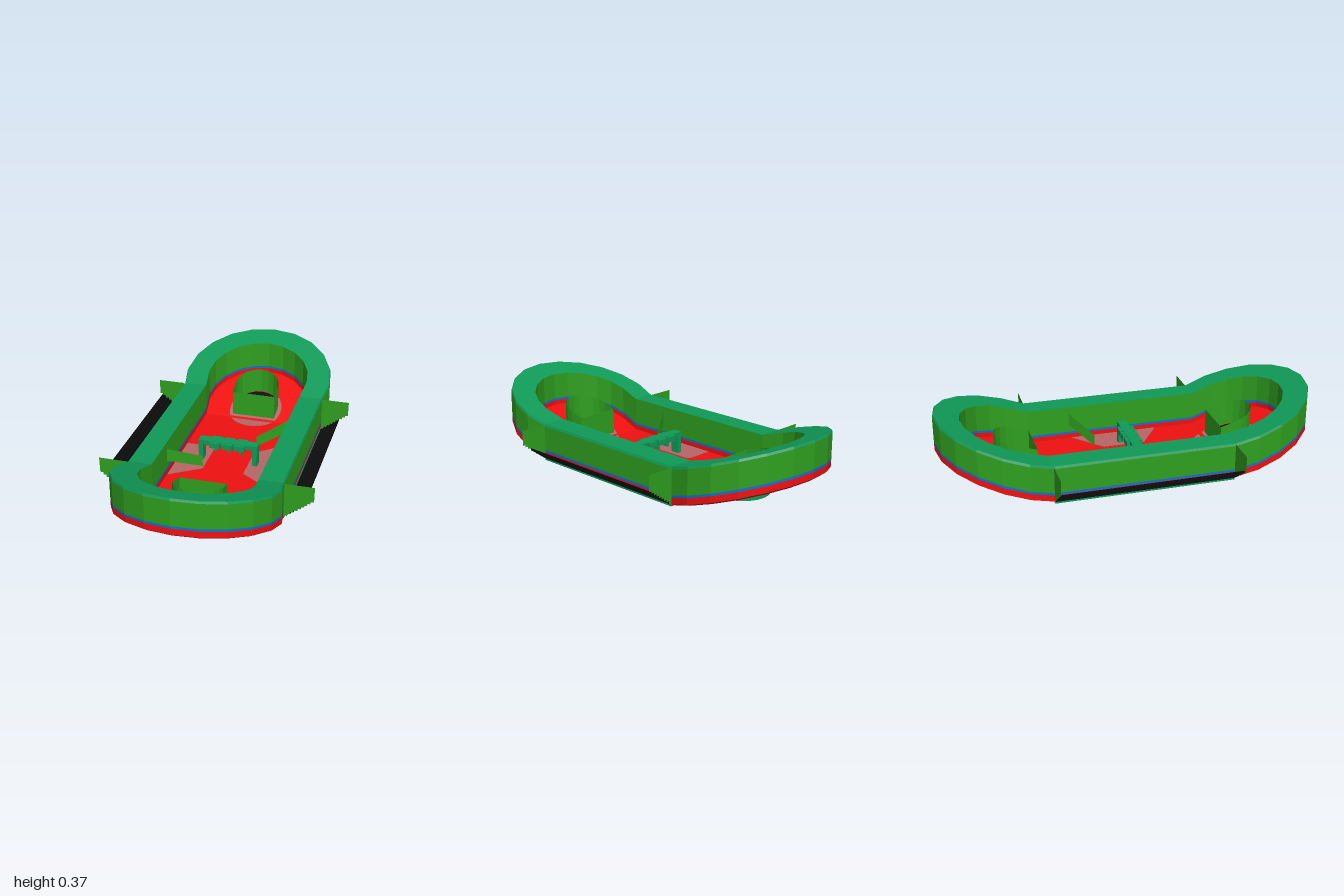
import * as THREE from 'three';

const mat = (color) => new THREE.MeshStandardMaterial({ color, flatShading: true, side: THREE.DoubleSide });
const FOLD = 0.47, SLOPE = 0.31;

// Both ends of the hull fold upward beyond z = +-FOLD.
const lift = (z) => Math.max(0, Math.abs(z) - FOLD) * SLOPE;

// Closed hull outline: two faceted round ends joined by straight sides.
function outline(radius) {
  const pts = [];
  for (const end of [1, -1]) {
    for (let i = 0; i <= 12; i++) {
      const a = THREE.MathUtils.degToRad(-18 + i * 18);
      const z = i === 0 || i === 12 ? FOLD : 0.59 + (radius - 0.01) * Math.sin(a);
      pts.push([end * radius * Math.cos(a), end * z]);
    }
  }
  return pts;
}

// Skin stretched between successive rings of points.
function loft(rings, closed = true) {
  const n = rings[0].length, pos = [], index = [];
  rings.forEach((ring) => ring.forEach((p) => pos.push(...p)));
  for (let r = 0; r < rings.length - 1; r++) {
    for (let i = 0; i < (closed ? n : n - 1); i++) {
      const a = r * n + i, b = r * n + (i + 1) % n;
      index.push(a, a + n, b, b, a + n, b + n);
    }
  }
  const g = new THREE.BufferGeometry();
  g.setAttribute('position', new THREE.Float32BufferAttribute(pos, 3));
  g.setIndex(index);
  const flat = g.toNonIndexed();
  flat.computeVertexNormals();
  return flat;
}

const raised = (pts, y) => pts.map(([x, z]) => [x, y + lift(z), z]);

// Flat plate from (x, z) points, with optional hole, following the fold.
function plate(pts, y, thickness, hole, follow = true) {
  const toVec = (list) => list.map(([x, z]) => new THREE.Vector2(x, -z));
  const shape = new THREE.Shape(toVec(pts));
  if (hole) shape.holes.push(new THREE.Path(toVec(hole)));
  const g = new THREE.ExtrudeGeometry(shape, { depth: thickness, bevelEnabled: false });
  g.rotateX(-Math.PI / 2).translate(0, y, 0);
  if (follow) {
    const p = g.attributes.position;
    for (let i = 0; i < p.count; i++) p.setY(i, p.getY(i) + lift(p.getZ(i)));
    g.computeVertexNormals();
  }
  return g;
}

const ellipse = (cz, rx, rz, n = 20) => Array.from({ length: n }, (_, i) => {
  const a = i / n * Math.PI * 2;
  return [rx * Math.cos(a), cz + rz * Math.sin(a)];
});

// D-shaped well outline: round outboard, flat inboard.
function wellOutline(r) {
  const pts = [[r * 0.97, 0.495]];
  for (let i = 0; i <= 10; i++) {
    const a = i / 10 * Math.PI;
    pts.push([r * Math.cos(a), 0.575 + r * Math.sin(a)]);
  }
  pts.push([-r * 0.97, 0.495]);
  return pts;
}

export function createModel() {
  const model = new THREE.Group();
  const green = mat(0x2fa01f), teal = mat(0x109a58), red = mat(0xf01010);
  const blue = mat(0x1070d0), black = mat(0x0c0c0c), panel = mat(0xb86666);
  const add = (name, geometry, material, parent = model) => {
    const mesh = new THREE.Mesh(geometry, material);
    mesh.name = name;
    parent.add(mesh);
    return mesh;
  };
  const ringBand = (name, material, profile) =>
    add(name, loft(profile.map(([r, y]) => raised(outline(r), y))), material);

  // Surrounding hull, in colour bands from bottom to top
  ringBand('lowerHull', red, [[0.4, 0.002], [0.42, 0.012], [0.42, 0.045]]);
  ringBand('stripe', blue, [[0.42, 0.045], [0.42, 0.058]]);
  ringBand('sideWall', green, [[0.42, 0.058], [0.42, 0.19]]);
  ringBand('topRim', teal, [[0.42, 0.19], [0.415, 0.203], [0.287, 0.203]]);
  ringBand('innerWall', green, [[0.287, 0.203], [0.287, 0.058]]);
  ringBand('innerStripe', blue, [[0.287, 0.058], [0.287, 0.045]]);
  ringBand('innerCurb', red, [[0.287, 0.045], [0.287, 0.018]]);

  // Floor: flat middle and two folded ends, each end with a well
  add('middleFloor', plate([[-0.4, -FOLD], [0.4, -FOLD], [0.4, FOLD], [-0.4, FOLD]], 0.002, 0.018), red);
  for (const side of [1, -1]) {
    const end = new THREE.Group();
    end.name = side > 0 ? 'frontEnd' : 'backEnd';
    end.rotation.y = side > 0 ? 0 : Math.PI;
    model.add(end);
    const well = wellOutline(0.125);
    add('endFloor', plate(outline(0.4).slice(0, 13), 0.002, 0.018, well), red, end);
    const wellWall = [raised(well, 0.003), raised(well, 0.16)];
    add('wellWall', loft(wellWall), green, end);
    add('wellBase', plate(well, 0.012, 0.006), black, end);
    const foot = ellipse(0.563, 0.148, 0.15);
    add('wellSkirt', loft([foot.map(([x, z]) => [x, 0, z]), raised(foot, 0.004)]), teal, end);
    add('skirtRing', plate(foot, 0, 0.002, ellipse(0.575, 0.125, 0.125), false), panel, end);
    add('skirtBase', plate(ellipse(0.575, 0.125, 0.125), 0.001, 0.002, null, false), black, end);
    // Floor patch, split at the fold
    const patch = ellipse(0.555, 0.148, 0.165, 40);
    const outer = patch.map(([x, z]) => [x, Math.max(z, FOLD)]);
    const inner = patch.map(([x, z]) => [x, Math.min(z, FOLD)]).filter(([, z]) => z < FOLD);
    add('outerPatch', plate(outer.filter(([, z]) => z > FOLD), 0.02, 0.002, well), panel, end);
    add('innerPatch', plate(inner, 0.02, 0.002), panel, end);
  }

  // Inset side panels
  add('leftPanel', plate([[0.27, -0.23], [0.11, -0.09], [0.11, 0.14], [0.27, 0.25]], 0, 0.023), panel);
  add('rightPanel', plate([[-0.27, -0.1], [-0.13, -0.1], [-0.11, -0.08], [-0.11, 0.14], [-0.27, 0.25]], 0, 0.023), panel);

  // Thin sloping guards beside the panels
  for (const [sx, sz] of [[-1, 1], [1, -1]]) {
    const x0 = 0.27 * sx, x1 = 0.11 * sx, z0 = 0.245 * sz, z1 = 0.14 * sz;
    add('panelGuard', loft([
      [[x0, 0.1, z0], [x1, 0.035, z1]],
      [[x0, 0.17, z0], [x1, 0.095, z1]],
    ], false), green);
  }

  // Central frame: a beam on two posts with small teeth
  const frame = new THREE.Group();
  frame.name = 'centreFrame';
  frame.position.z = 0.025;
  model.add(frame);
  const box = (name, w, h, d, x, y, z = 0) =>
    add(name, new THREE.BoxGeometry(w, h, d), teal, frame).position.set(x, y, z);
  box('beam', 0.32, 0.025, 0.05, 0, 0.127);
  for (const s of [-1, 1]) {
    box('post', 0.025, 0.12, 0.05, s * 0.147, 0.061);
    box('foot', 0.03, 0.01, 0.05, s * 0.13, 0.005);
  }
  for (const x of [-0.068, 0, 0.068]) {
    box('block', 0.055, 0.03, 0.085, x, 0.122);
    box('tooth', 0.014, 0.04, 0.03, x, 0.095);
  }

  // Stepped side slats with gusset plates at both ends
  const steps = 9, dx = 0.0165, dy = 0.0122;
  const stairs = (count) => {
    const pts = [[0.402, 0.02]];
    for (let i = 0; i < count; i++) {
      const [x, y] = pts[pts.length - 1];
      pts.push([x + dx, y], [x + dx, y + dy]);
    }
    return pts;
  };
  for (const side of [1, -1]) {
    const wing = new THREE.Group();
    wing.name = side > 0 ? 'leftWing' : 'rightWing';
    model.add(wing);
    const profile = stairs(side > 0 ? 6 : 8);
    add('slats', loft([-FOLD, FOLD].map((z) => profile.map(([x, y]) => [x * side, y, z])), false), black, wing);
    const gusset = new THREE.Shape([...stairs(steps), [0.552, 0.2], [0.402, 0.2]]
      .map(([x, y]) => new THREE.Vector2(x * side, y)));
    for (const z of [-FOLD, FOLD]) {
      add('gusset', new THREE.ShapeGeometry(gusset), green, wing).position.z = z;
    }
    // Lower edge strip under the slats
    add('edgeStrip', new THREE.BoxGeometry(0.004, 0.026, FOLD * 2), teal, wing).position.set(side * 0.401, 0.015, 0);
  }
  return model;
}
